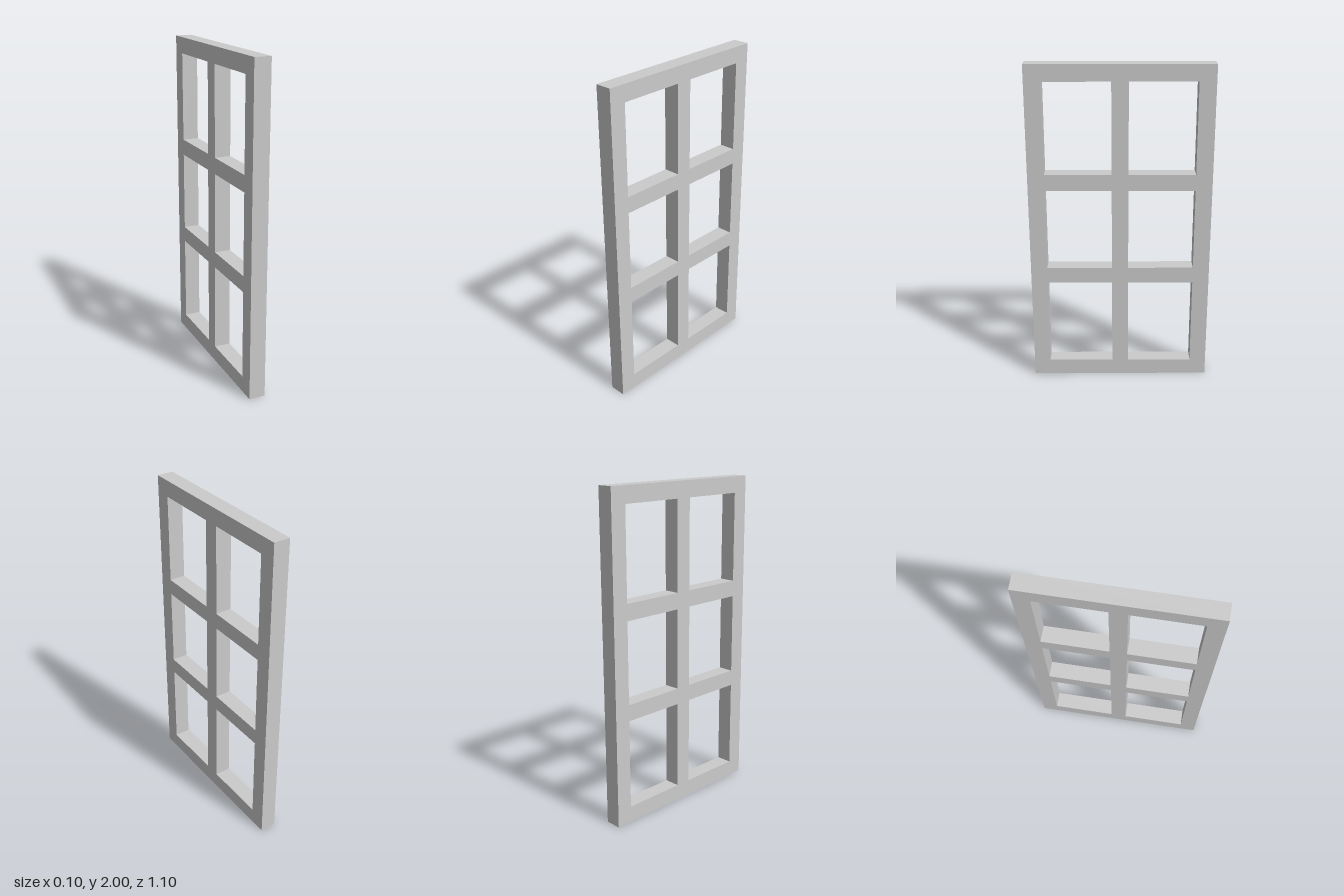
import * as THREE from 'three';

const THICKNESS = 0.1;

// Adds a closed rectangle to a shape or path
function rectangle(path, left, bottom, right, top) {
  path.moveTo(left, bottom);
  path.lineTo(right, bottom);
  path.lineTo(right, top);
  path.lineTo(left, top);
  path.closePath();
  return path;
}

export function createModel() {
  const group = new THREE.Group();
  group.name = 'windowFrame';

  // Outer frame outline
  const outline = rectangle(new THREE.Shape(), -0.55, 0, 0.55, 2);

  // Two columns by three rows of open panes, leaving the bars between them
  const columns = [[-0.45, -0.05], [0.05, 0.45]];
  const rows = [[0.1, 0.65], [0.75, 1.25], [1.35, 1.9]];
  for (const [left, right] of columns) {
    for (const [bottom, top] of rows) {
      outline.holes.push(rectangle(new THREE.Path(), left, bottom, right, top));
    }
  }

  // Extrude through the thickness and turn the lattice into the YZ plane
  const geometry = new THREE.ExtrudeGeometry(outline, { depth: THICKNESS, bevelEnabled: false });
  geometry.translate(0, 0, -THICKNESS / 2);
  geometry.rotateY(Math.PI / 2);

  const lattice = new THREE.Mesh(geometry, new THREE.MeshStandardMaterial({ color: 0xcccccc }));
  lattice.name = 'frameLattice';
  group.add(lattice);
  return group;
}
